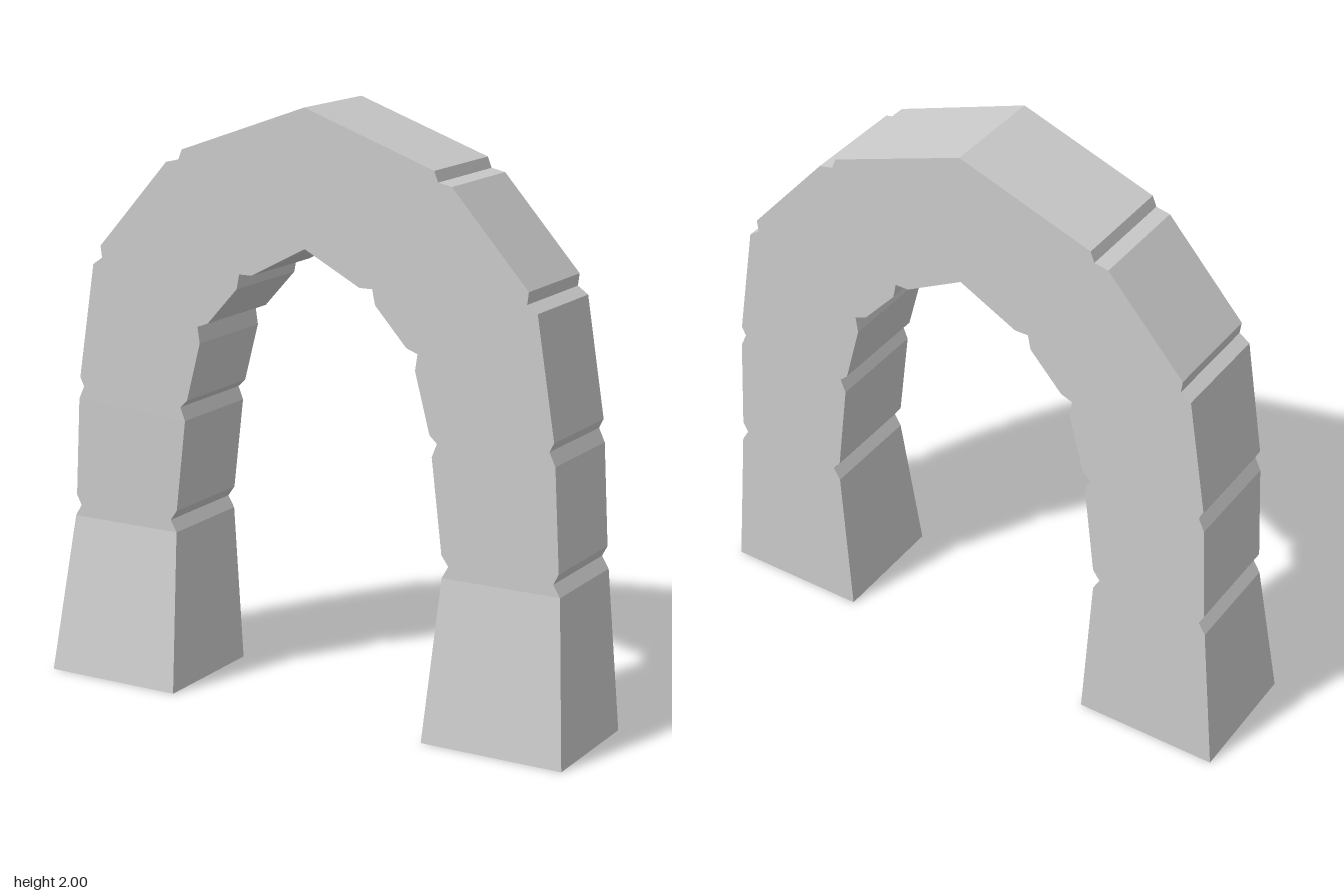
import * as THREE from 'three';

// Outer and inner outline of one half of the arch, foot to apex; rows match up
const OUTER = [
  [0.967, 0], [0.918, 0.54], [0.894, 0.58], [0.912, 0.615],
  [0.893, 0.955], [0.872, 1.0], [0.887, 1.03],
  [0.823, 1.425], [0.787, 1.45], [0.792, 1.49],
  [0.525, 1.79], [0.477, 1.8], [0.463, 1.835], [0, 2],
];
const INNER = [
  [0.47, 0], [0.504, 0.54], [0.527, 0.58], [0.502, 0.615],
  [0.464, 0.93], [0.482, 0.975], [0.455, 1.0],
  [0.402, 1.2], [0.41, 1.255], [0.37, 1.27],
  [0.257, 1.395], [0.247, 1.445], [0.2, 1.445], [0, 1.55],
];
const FRONT = 0.14, BACK = -0.22;

// Four corners of the cross-section at one joint; the foot flares forward
function section(i, side) {
  const [ox, oy] = OUTER[i], [ix, iy] = INNER[i];
  const front = i === 0 ? (side > 0 ? 0.207 : 0.225) : FRONT;
  return [
    [side * ix, iy, front], [side * ox, oy, front],
    [side * ox, oy, BACK], [side * ix, iy, BACK],
  ];
}

// Skin the cross-sections with flat quads, leaving the feet open underneath
function loft(sections) {
  const positions = [];
  for (let i = 0; i < sections.length - 1; i++) {
    const a = sections[i], b = sections[i + 1];
    for (let k = 0; k < 4; k++) {
      const n = (k + 1) % 4;
      positions.push(...a[k], ...a[n], ...b[n], ...a[k], ...b[n], ...b[k]);
    }
  }
  const geometry = new THREE.BufferGeometry();
  geometry.setAttribute('position', new THREE.Float32BufferAttribute(positions, 3));
  geometry.computeVertexNormals();
  return geometry;
}

export function createModel() {
  const group = new THREE.Group();
  group.name = 'stoneArch';
  const material = new THREE.MeshStandardMaterial({
    color: 0xcccccc, flatShading: true, side: THREE.DoubleSide,
  });

  // One continuous run: left foot, over the apex, down to the right foot
  const sections = [];
  const last = OUTER.length - 1;
  for (let i = 0; i <= last; i++) sections.push(section(i, 1));
  for (let i = last - 1; i >= 0; i--) sections.push(section(i, -1));

  // Legs below the first groove and the notched ring above them
  const parts = {
    leftFoot: sections.slice(0, 2),
    archRing: sections.slice(1, -1),
    rightFoot: sections.slice(-2),
  };
  for (const [name, run] of Object.entries(parts)) {
    const mesh = new THREE.Mesh(loft(run), material);
    mesh.name = name;
    group.add(mesh);
  }
  return group;
}
